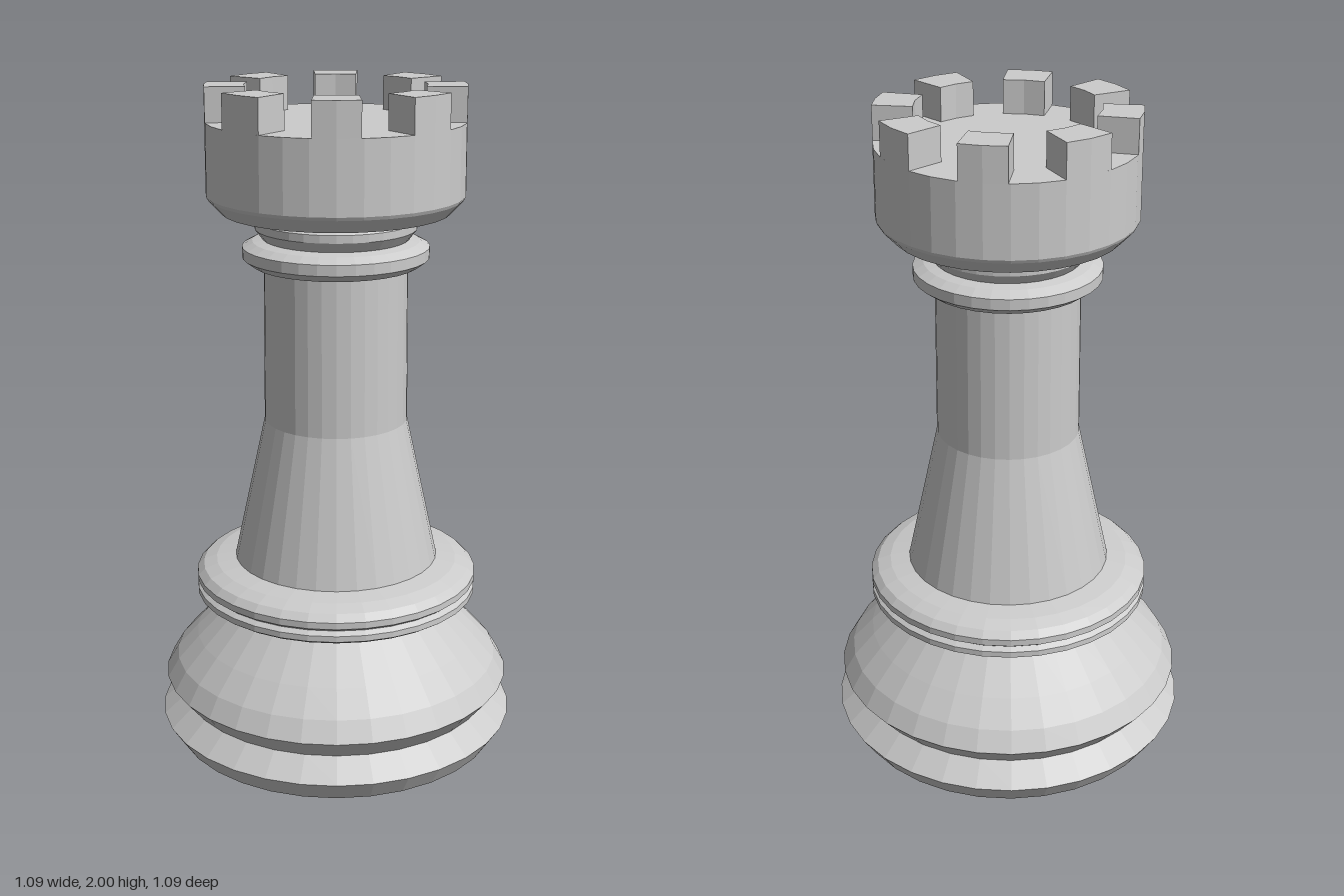
import * as THREE from 'three';

const SIDES = 32;
const material = new THREE.MeshStandardMaterial({ color: 0xcccccc, flatShading: true });

// Turned part from [radius, height] pairs, listed bottom to top
function turned(name, profile) {
  const points = profile.map(([r, y]) => new THREE.Vector2(r, y));
  const mesh = new THREE.Mesh(new THREE.LatheGeometry(points, SIDES), material);
  mesh.name = name;
  return mesh;
}

// Wedge-shaped block with curved inner and outer faces
function merlon(innerHalf, outerHalf) {
  const inner = 0.262, outer = 0.376;
  const zIn = Math.sqrt(inner ** 2 - innerHalf ** 2);
  const zOut = Math.sqrt(outer ** 2 - outerHalf ** 2);
  const shape = new THREE.Shape([
    [-innerHalf, zIn], [0, inner], [innerHalf, zIn],
    [outerHalf, zOut], [0, outer], [-outerHalf, zOut],
  ].map(([x, y]) => new THREE.Vector2(x, y)));
  const geometry = new THREE.ExtrudeGeometry(shape, { depth: 0.1, bevelEnabled: false });
  geometry.rotateX(-Math.PI / 2);
  return new THREE.Mesh(geometry, material);
}

export function createModel() {
  const model = new THREE.Group();
  model.name = 'rook';

  // Grooved foot rising to a rounded shoulder
  model.add(turned('base', [
    [0, 0], [0.505, 0], [0.547, 0.065], [0.48, 0.125], [0.533, 0.19],
    [0.498, 0.25], [0.435, 0.32], [0.312, 0.445],
  ]));

  // Double collar between base and column
  model.add(turned('lowerCollar', [
    [0.30, 0.44], [0.345, 0.443], [0.415, 0.455], [0.43, 0.465], [0.43, 0.483],
    [0.415, 0.494], [0.43, 0.505], [0.43, 0.525], [0.41, 0.545],
    [0.37, 0.56], [0.31, 0.57],
  ]));

  model.add(turned('column', [[0.31, 0.57], [0.215, 1.01], [0.212, 1.48]]));

  // Neck ring with a smaller bead above it
  model.add(turned('upperCollar', [
    [0.21, 1.48], [0.245, 1.483], [0.275, 1.505], [0.275, 1.537],
    [0.245, 1.553], [0.215, 1.56],
  ]));
  model.add(turned('neckBead', [
    [0.215, 1.56], [0.238, 1.59], [0.238, 1.613], [0.215, 1.63], [0.215, 1.645],
  ]));

  // Drum with a flat top
  model.add(turned('head', [
    [0.21, 1.64], [0.335, 1.64], [0.372, 1.68], [0.377, 1.69], [0.376, 1.9], [0, 1.9],
  ]));

  // Eight merlons around the rim
  const battlements = new THREE.Group();
  battlements.name = 'battlements';
  for (let i = 0; i < 8; i++) {
    const block = i % 2 ? merlon(0.061, 0.067) : merlon(0.056, 0.0735);
    block.name = 'merlon' + (i + 1);
    block.position.y = 1.9;
    block.rotation.y = i * Math.PI / 4;
    battlements.add(block);
  }
  model.add(battlements);
  return model;
}
